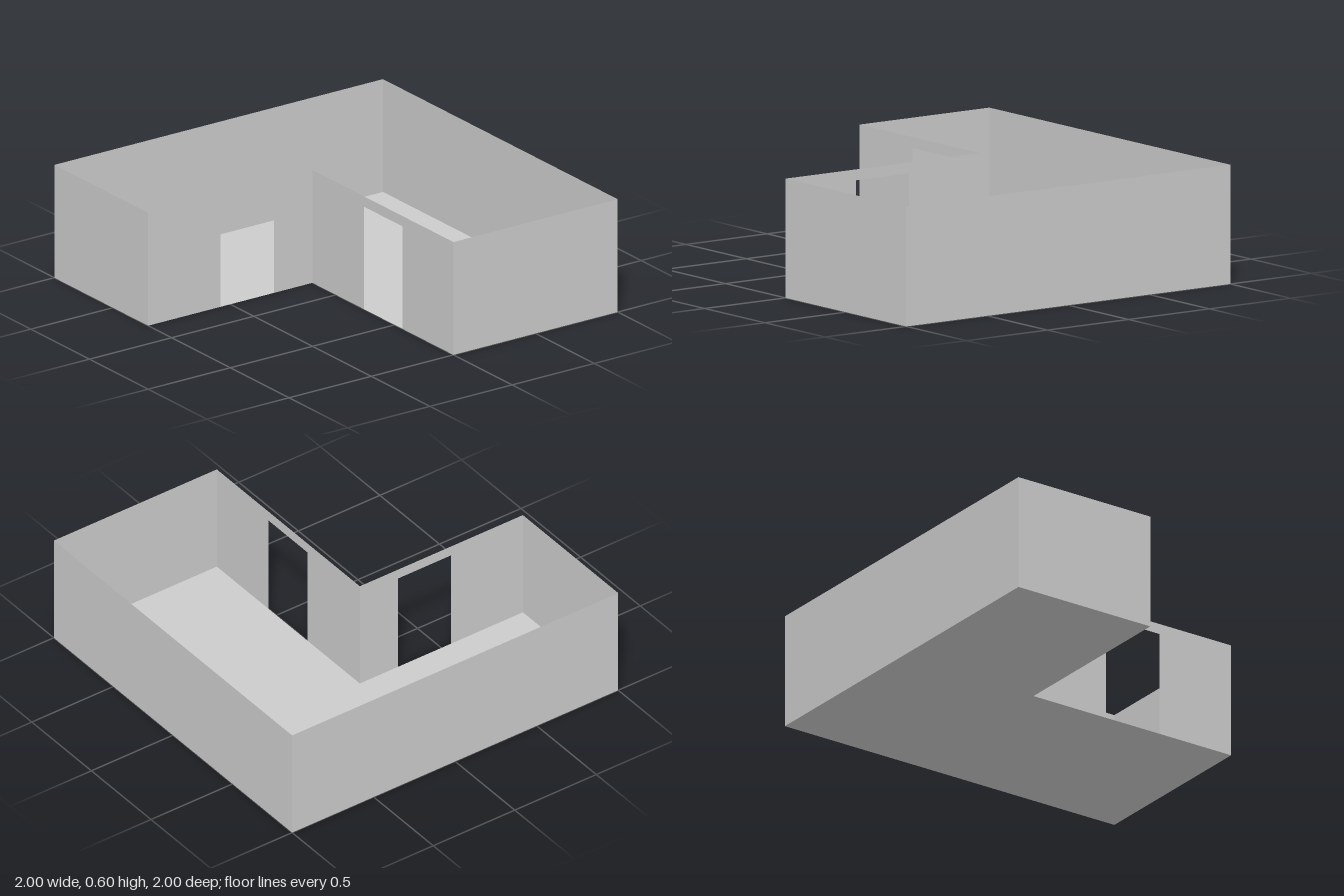
import * as THREE from 'three';

const HEIGHT = 0.6;
const DOOR = { start: 0.44, end: 0.765, height: 0.545 };

// Corners of the L-shaped plan as [x, z], each wall running to the next corner
const CORNERS = [[-1, -0.2], [0, -0.2], [0, 1], [1, 1], [1, -1], [-1, -1]];
const WALLS = [
  { name: 'innerCornerWallFront', door: true },
  { name: 'innerCornerWallSide', door: true },
  { name: 'frontWall' },
  { name: 'leftWall' },
  { name: 'backWall' },
  { name: 'rightWall' },
];

const toShape = (points) => new THREE.Shape(points.map(([x, y]) => new THREE.Vector2(x, y)));

export function createModel() {
  const group = new THREE.Group();
  group.name = 'roomShell';
  const material = new THREE.MeshStandardMaterial({
    color: 0xcccccc, side: THREE.DoubleSide, flatShading: true,
  });

  // Floor sheet
  const floorShape = toShape(CORNERS.map(([x, z]) => [x, -z]));
  const floor = new THREE.Mesh(new THREE.ShapeGeometry(floorShape).rotateX(-Math.PI / 2), material);
  floor.name = 'floor';
  group.add(floor);

  // Thin walls facing outward, two of them with a doorway cut up from the floor
  WALLS.forEach(({ name, door }, i) => {
    const [x0, z0] = CORNERS[i];
    const [x1, z1] = CORNERS[(i + 1) % CORNERS.length];
    const length = Math.hypot(x1 - x0, z1 - z0);
    const doorway = door
      ? [[DOOR.start, 0], [DOOR.start, DOOR.height], [DOOR.end, DOOR.height], [DOOR.end, 0]]
      : [];
    const outline = toShape([[0, 0], ...doorway, [length, 0], [length, HEIGHT], [0, HEIGHT]]);
    const wall = new THREE.Mesh(new THREE.ShapeGeometry(outline), material);
    wall.name = name;
    wall.position.set(x0, 0, z0);
    wall.rotation.y = Math.atan2(z0 - z1, x1 - x0);
    group.add(wall);
  });

  return group;
}
